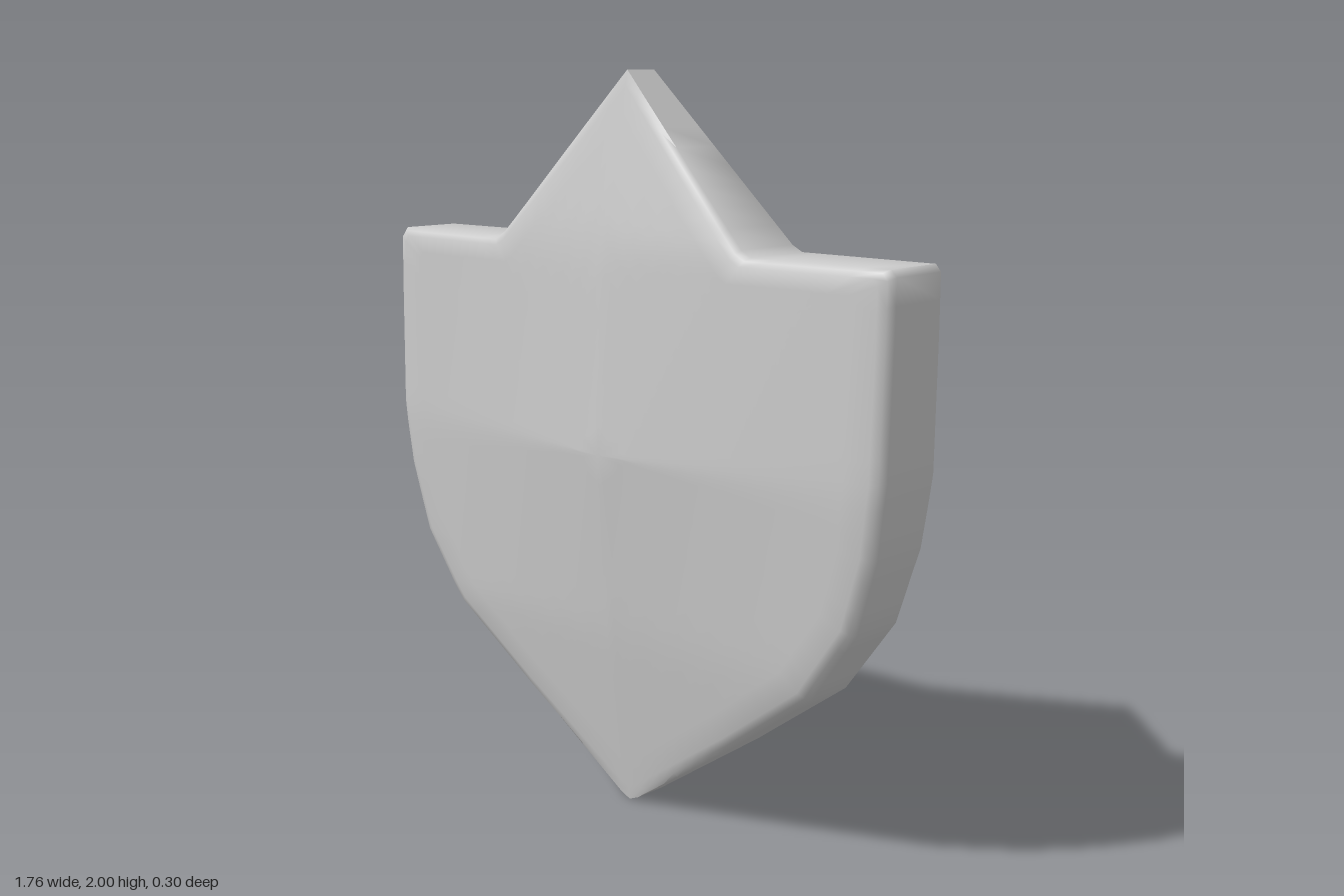
import * as THREE from 'three';
import { toCreasedNormals } from 'three/addons/utils/BufferGeometryUtils.js';

// Right half of the outline, from the top peak down to the bottom tip
const HALF = [[0, 2], [0.425, 1.565], [0.455, 1.548], [0.865, 1.548], [0.88, 1.53], [0.88, 1.4], [0.875, 1.04],
  [0.85, 0.85], [0.79, 0.65], [0.65, 0.45], [0.38, 0.25], [0.03, 0.012], [0, 0]];

// Linear interpolation through [position, value] pairs
function ramp(pairs, v) {
  for (let i = 1; i < pairs.length; i++) {
    const [a, fa] = pairs[i - 1], [b, fb] = pairs[i];
    if (v <= b) return fa + (fb - fa) * Math.max(0, (v - a) / (b - a));
  }
  return pairs[pairs.length - 1][1];
}

// Domed front: highest in the middle, falling to the tips and sides
function frontZ(x, y) {
  const spine = ramp([[0, 0.025], [0.5, 0.1], [1, 0.147], [1.55, 0.113], [2, 0.032]], y);
  const fall = ramp([[0, 0.02], [0.5, 0.03], [1, 0.055], [1.55, 0.03], [2, 0.02]], y);
  return spine - fall * Math.abs(x) / 0.88;
}

// Back: hollow along the centre line, thickest below the upper notches
function backZ(x, y) {
  const s = Math.abs(x);
  const spine = ramp([[0, -0.07], [1, -0.095], [1.55, -0.085], [2, -0.07]], y);
  const shoulder = ramp([[0.8, 0], [1.55, 0.045], [2, 0.045]], y);
  return spine - 0.05 * s / 0.88 - shoulder * ramp([[0, 0], [0.45, 1], [0.88, 0.2]], s);
}

// Full outline, clockwise, with long edges subdivided
function makeOutline() {
  const mirrored = HALF.slice(1, -1).reverse().map(([x, y]) => [-x, y]);
  const corners = [...HALF, ...mirrored];
  const points = [];
  corners.forEach(([x, y], i) => {
    const [nx, ny] = corners[(i + 1) % corners.length];
    const n = Math.ceil(Math.hypot(nx - x, ny - y) / 0.07);
    for (let k = 0; k < n; k++) points.push([x + (nx - x) * k / n, y + (ny - y) * k / n]);
  });
  return points;
}

function shieldGeometry() {
  const outline = makeOutline();
  const n = outline.length;
  // Concentric rings: [scale, share of the edge bevel]
  const rings = [];
  for (let i = 1; i <= 12; i++) rings.push([0.96 * i / 12, 0]);
  rings.push([0.985, 0.3], [1, 1]);

  const pos = [], index = [];
  const addRing = ([t, bevel], surface, sign) => {
    for (const [ox, oy] of outline) {
      const x = ox * t, y = 1 + (oy - 1) * t;
      const depth = bevel * 0.025 * Math.min(1, Math.abs(x) / 0.45);
      pos.push(x, y, surface(x, y) - sign * depth);
    }
  };
  rings.forEach((r) => addRing(r, frontZ, 1));
  [...rings].reverse().forEach((r) => addRing(r, backZ, -1));
  const count = rings.length * 2;
  const frontCentre = count * n, backCentre = frontCentre + 1;
  pos.push(0, 1, frontZ(0, 1), 0, 1, backZ(0, 1));

  for (let j = 0; j < n; j++) {
    const k = (j + 1) % n;
    index.push(frontCentre, k, j);
    for (let r = 0; r < count - 1; r++) {
      const a = r * n + j, b = r * n + k, c = a + n, d = b + n;
      index.push(a, b, d, a, d, c);
    }
    index.push(backCentre, (count - 1) * n + j, (count - 1) * n + k);
  }
  const geometry = new THREE.BufferGeometry();
  geometry.setAttribute('position', new THREE.Float32BufferAttribute(pos, 3));
  geometry.setIndex(index);
  return toCreasedNormals(geometry, 0.95);
}

export function createModel() {
  const group = new THREE.Group();
  group.name = 'shield';
  const body = new THREE.Mesh(shieldGeometry(), new THREE.MeshStandardMaterial({ color: 0xcccccc }));
  body.name = 'shieldBody';
  group.add(body);
  return group;
}
